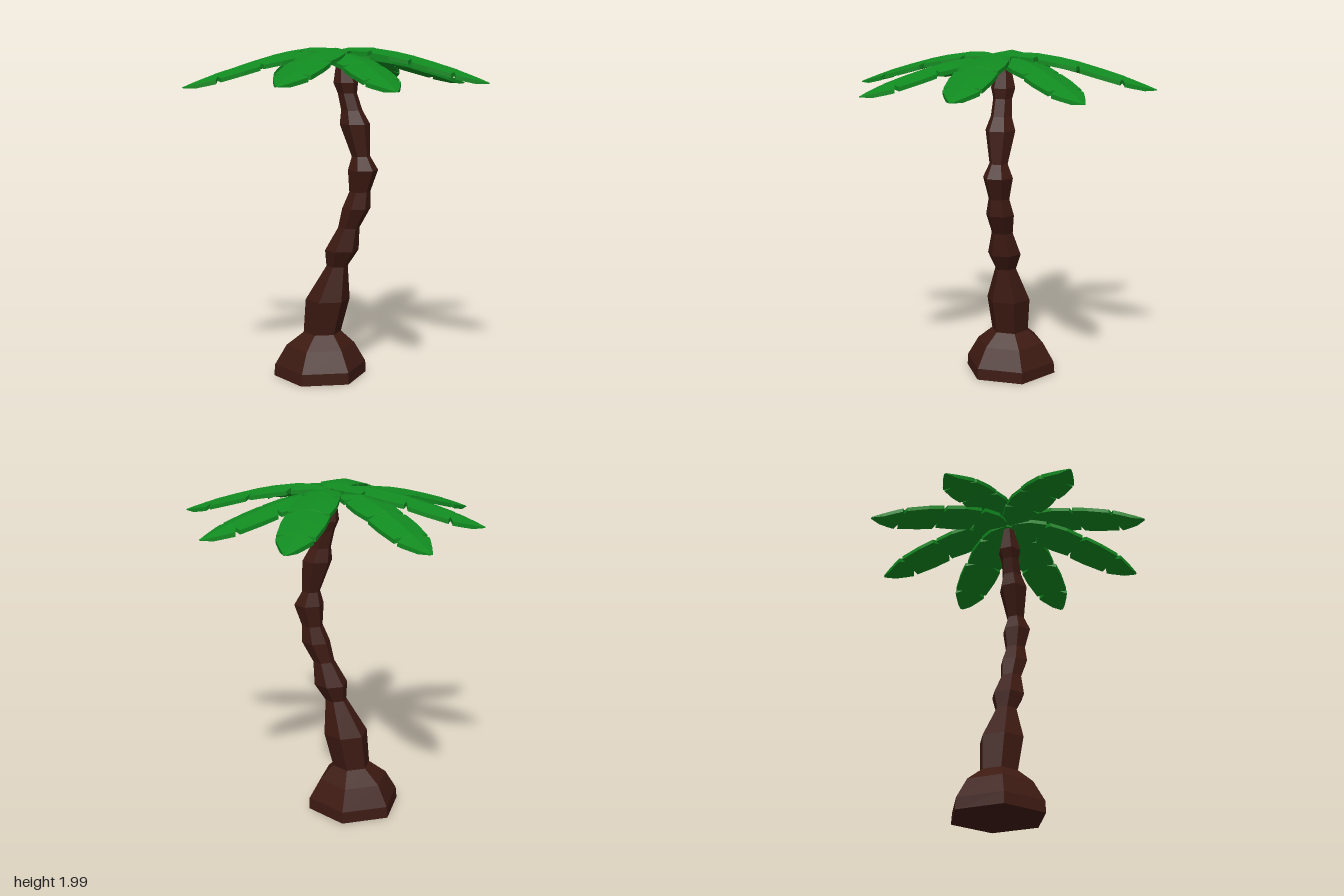
import * as THREE from 'three';

// Skin a list of equal-sized rings (counter-clockwise about the direction of travel) and cap both ends
function loft(rings) {
  const n = rings[0].length, index = [];
  for (let i = 0; i < rings.length - 1; i++) {
    for (let j = 0; j < n; j++) {
      const a = i * n + j, b = i * n + (j + 1) % n;
      index.push(a, b, b + n, a, b + n, a + n);
    }
  }
  const last = (rings.length - 1) * n;
  for (let j = 1; j < n - 1; j++) {
    index.push(0, j + 1, j);
    index.push(last, last + j, last + j + 1);
  }
  const geometry = new THREE.BufferGeometry();
  geometry.setAttribute('position', new THREE.Float32BufferAttribute(rings.flat(2), 3));
  geometry.setIndex(index);
  const flat = geometry.toNonIndexed();
  flat.computeVertexNormals();
  return flat;
}

// Hexagonal trunk: each ring is [height, centre x, radius]
function trunkGeometry() {
  const profile = [
    [0, -0.15, 0.285], [0.07, -0.148, 0.28], [0.19, -0.147, 0.21], [0.27, -0.135, 0.115],
    [0.48, -0.098, 0.135], [0.69, -0.036, 0.065], [0.79, -0.005, 0.102], [0.93, 0.04, 0.065],
    [1.05, 0.088, 0.085], [1.15, 0.11, 0.063], [1.28, 0.13, 0.09], [1.36, 0.117, 0.055],
    [1.55, 0.078, 0.09], [1.63, 0.058, 0.063], [1.73, 0.03, 0.057], [1.79, 0.02, 0.073],
    [1.965, 0, 0.03],
  ];
  return loft(profile.map(([y, cx, r]) => Array.from({ length: 6 }, (_, j) => {
    const a = Math.PI / 2 + j * Math.PI / 3;
    return [cx + r * Math.cos(a), y, -r * Math.sin(a)];
  })));
}

// Notched, drooping leaf along +x: each station is [distance, half width, ridge height]
function leafGeometry() {
  const stations = [
    [0.02, 0.02, 1.972], [0.1, 0.085, 1.993], [0.205, 0.11, 1.993],
    [0.215, 0.06, 1.99], [0.23, 0.112, 1.988],
    [0.34, 0.125, 1.972], [0.452, 0.115, 1.948],
    [0.455, 0.065, 1.946], [0.475, 0.122, 1.941],
    [0.57, 0.122, 1.915], [0.7, 0.106, 1.876],
    [0.705, 0.06, 1.874], [0.725, 0.102, 1.866],
    [0.76, 0.085, 1.854], [0.83, 0.046, 1.828], [0.89, 0.008, 1.804],
  ];
  const thickness = 0.024;
  return loft(stations.map(([x, w, y]) => {
    const edge = y - 0.2 * w, under = thickness * Math.min(1, w / 0.05);
    return [
      [x, edge, -w], [x, y, 0], [x, edge, w],
      [x, edge - under, w], [x, y - under, 0], [x, edge - under, -w],
    ];
  }));
}

export function createModel() {
  const bark = new THREE.MeshStandardMaterial({ color: 0x3d1a12, flatShading: true });
  const green = new THREE.MeshStandardMaterial({ color: 0x118a20, flatShading: true });
  const tree = new THREE.Group();
  tree.name = 'palmTree';

  const trunk = new THREE.Mesh(trunkGeometry(), bark);
  trunk.name = 'trunk';
  tree.add(trunk);

  // Two crosses of four leaves; the diagonal cross sits lower and off centre
  const leaf = leafGeometry();
  const crown = new THREE.Group();
  crown.name = 'crown';
  for (let i = 0; i < 8; i++) {
    const mesh = new THREE.Mesh(leaf, green);
    mesh.name = 'leaf' + (i + 1);
    mesh.rotation.y = i * Math.PI / 4;
    if (i % 2) mesh.position.set(-0.06, -0.025, 0.035);
    else if (i % 4 === 0) mesh.position.z = 0.015;
    if (i === 0) mesh.rotation.y = -0.015;
    if (i === 4) mesh.rotation.y = Math.PI - 0.025;
    crown.add(mesh);
  }
  tree.add(crown);
  return tree;
}
